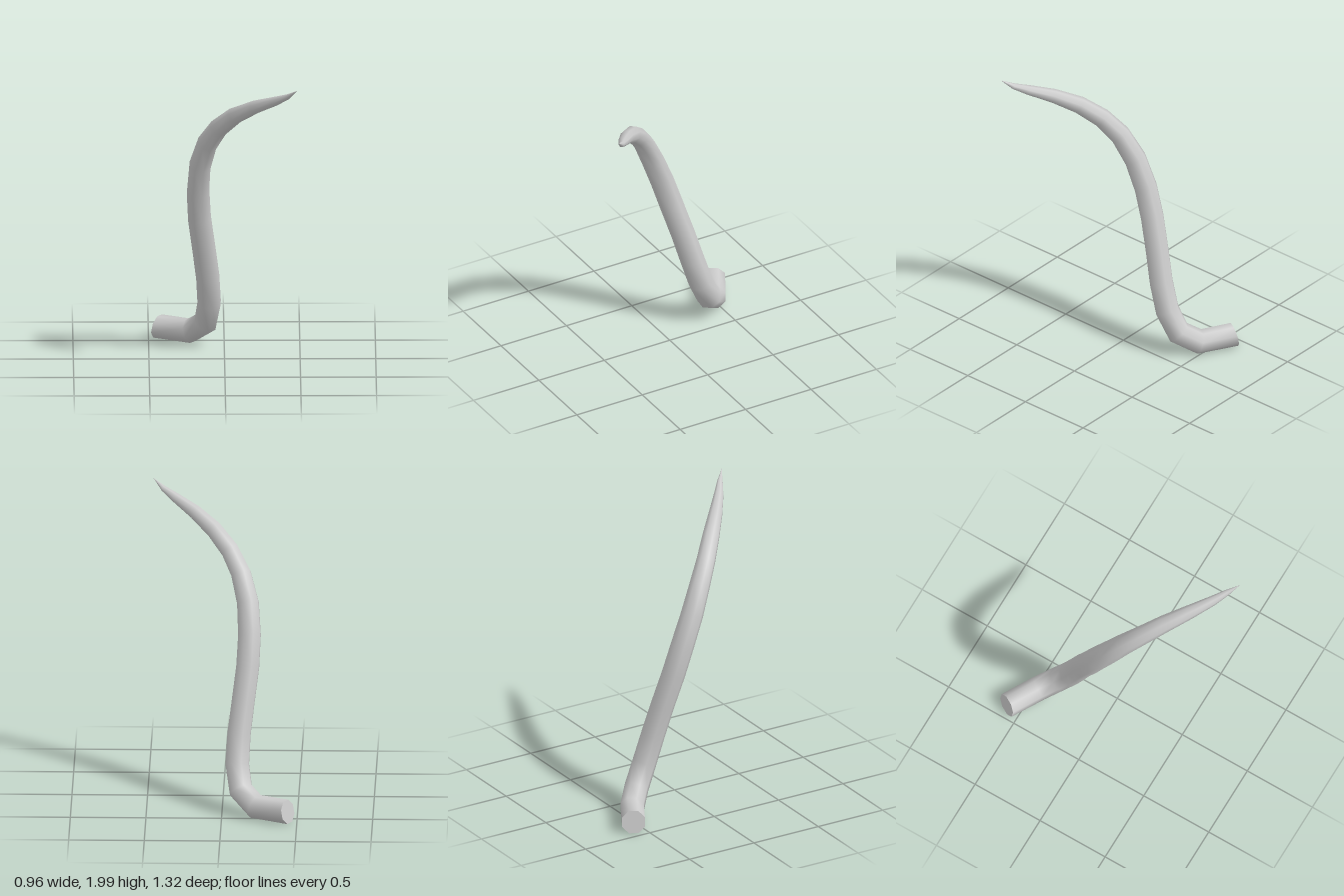
import * as THREE from 'three';

const SIDES = 8;

// Centre line of the horn from base to tip: x, y, z, radius
const RINGS = [
  [-0.44, 0.085, -0.59, 0.082],
  [-0.225, 0.083, -0.468, 0.083],
  [-0.125, 0.165, -0.372, 0.083],
  [-0.10, 0.32, -0.295, 0.082],
  [-0.11, 0.51, -0.235, 0.081],
  [-0.135, 0.71, -0.18, 0.08],
  [-0.165, 0.94, -0.11, 0.08],
  [-0.175, 1.14, -0.045, 0.079],
  [-0.163, 1.335, 0.035, 0.076],
  [-0.115, 1.51, 0.125, 0.07],
  [-0.04, 1.64, 0.22, 0.064],
  [0.067, 1.75, 0.325, 0.058],
  [0.195, 1.835, 0.44, 0.047],
  [0.325, 1.9, 0.545, 0.033],
  [0.408, 1.945, 0.605, 0.02],
  [0.475, 2.0, 0.66, 0.0005],
];

// Sweeps a ring of the given radius along the centre line without twisting
function sweep(rings, firstTangent) {
  const centres = rings.map(([x, y, z]) => new THREE.Vector3(x, y, z));
  const positions = [];
  const indices = [];
  const tangent = firstTangent.clone().normalize();
  const up = new THREE.Vector3(0, 1, 0).projectOnPlane(tangent).normalize();

  centres.forEach((c, i) => {
    if (i > 0) {
      // Each ring lies halfway between its two neighbouring directions
      const next = c.clone().sub(centres[i - 1]).normalize();
      if (i < centres.length - 1) next.add(centres[i + 1].clone().sub(c).normalize()).normalize();
      up.applyQuaternion(new THREE.Quaternion().setFromUnitVectors(tangent, next));
      tangent.copy(next);
    }
    const side = new THREE.Vector3().crossVectors(tangent, up);
    for (let j = 0; j < SIDES; j++) {
      const a = ((j + 0.5) / SIDES) * Math.PI * 2;
      const p = c.clone()
        .addScaledVector(up, Math.cos(a) * rings[i][3])
        .addScaledVector(side, Math.sin(a) * rings[i][3]);
      positions.push(p.x, p.y, p.z);
      if (i > 0) {
        const k = (j + 1) % SIDES;
        const lo = (i - 1) * SIDES;
        const hi = i * SIDES;
        indices.push(lo + j, lo + k, hi + j, lo + k, hi + k, hi + j);
      }
    }
  });

  const geometry = new THREE.BufferGeometry();
  geometry.setAttribute('position', new THREE.Float32BufferAttribute(positions, 3));
  geometry.setIndex(indices);
  geometry.computeVertexNormals();
  return geometry;
}

// Flat face closing the first ring of a swept geometry
function endCap(geometry) {
  const cap = new THREE.BufferGeometry();
  const points = Array.from(geometry.attributes.position.array.slice(0, SIDES * 3));
  const indices = [];
  for (let j = 1; j < SIDES - 1; j++) indices.push(0, j + 1, j);
  cap.setAttribute('position', new THREE.Float32BufferAttribute(points, 3));
  cap.setIndex(indices);
  cap.computeVertexNormals();
  return cap;
}

export function createModel() {
  const group = new THREE.Group();
  group.name = 'horn';
  const material = new THREE.MeshStandardMaterial({ color: 0xcccccc, side: THREE.DoubleSide });

  // Curved, tapering body; its base face leans slightly upward
  const body = new THREE.Mesh(sweep(RINGS, new THREE.Vector3(0.85, -0.2, 0.49)), material);
  body.name = 'hornBody';
  group.add(body);

  // Base face
  const base = new THREE.Mesh(endCap(body.geometry), material);
  base.name = 'hornBase';
  group.add(base);

  return group;
}
